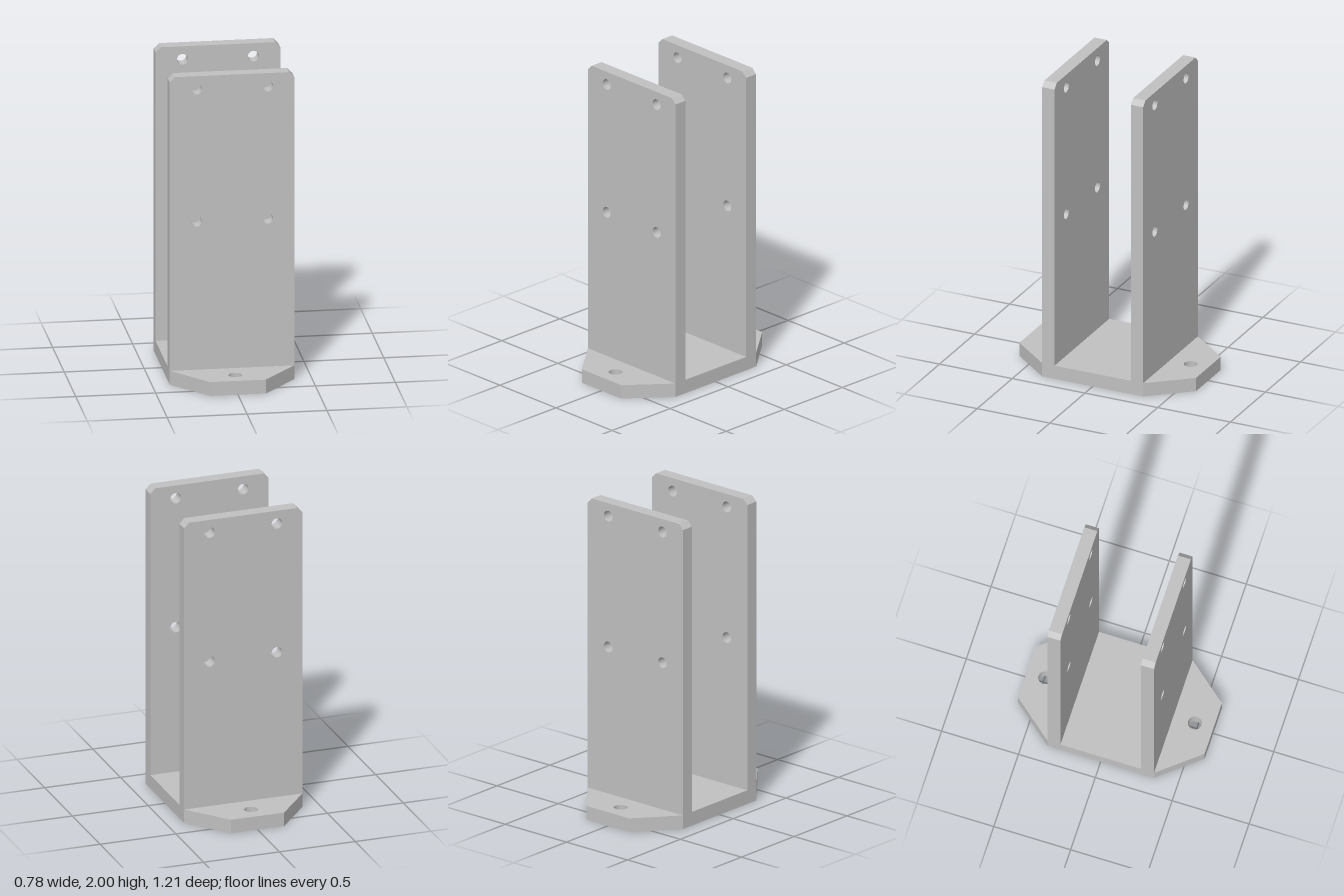
import * as THREE from 'three';

const HALF_WIDTH = 0.39;
const BASE_HEIGHT = 0.09;
const WALL_OUTER = 0.347;
const WALL_THICKNESS = 0.085;

// Flat plate with straight edges and round through-holes
function plateGeometry(outline, holes, radius, depth) {
  const shape = new THREE.Shape(outline.map(([x, y]) => new THREE.Vector2(x, y)));
  for (const [x, y] of holes) {
    shape.holes.push(new THREE.Path().absarc(x, y, radius, 0, Math.PI * 2, true));
  }
  return new THREE.ExtrudeGeometry(shape, { depth, bevelEnabled: false, curveSegments: 14 });
}

export function createModel() {
  const group = new THREE.Group();
  group.name = 'bracket';
  const grey = new THREE.MeshStandardMaterial({ color: 0xc0c0c0 });
  grey.name = 'light grey';

  // Base plate: tapered ends, one mounting hole in each
  const base = new THREE.Mesh(
    plateGeometry(
      [
        [-0.175, -0.607], [0.175, -0.607], [HALF_WIDTH, -WALL_OUTER], [HALF_WIDTH, WALL_OUTER],
        [0.175, 0.607], [-0.175, 0.607], [-HALF_WIDTH, WALL_OUTER], [-HALF_WIDTH, -WALL_OUTER],
      ],
      [[0, -0.487], [0, 0.487]], 0.043, BASE_HEIGHT,
    ).rotateX(-Math.PI / 2),
    grey,
  );
  base.name = 'basePlate';
  group.add(base);

  // Upright walls: chamfered top corners, four bolt holes each
  const chamfer = 0.033;
  const wallGeometry = plateGeometry(
    [
      [-HALF_WIDTH, BASE_HEIGHT], [HALF_WIDTH, BASE_HEIGHT],
      [HALF_WIDTH, 2 - chamfer], [HALF_WIDTH - chamfer, 2],
      [-HALF_WIDTH + chamfer, 2], [-HALF_WIDTH, 2 - chamfer],
    ],
    [[-0.222, 1.055], [0.222, 1.055], [-0.222, 1.915], [0.222, 1.915]], 0.035, WALL_THICKNESS,
  );
  for (const [name, z] of [['frontWall', WALL_OUTER - WALL_THICKNESS], ['backWall', -WALL_OUTER]]) {
    const wall = new THREE.Mesh(wallGeometry, grey);
    wall.name = name;
    wall.position.z = z;
    group.add(wall);
  }

  return group;
}
